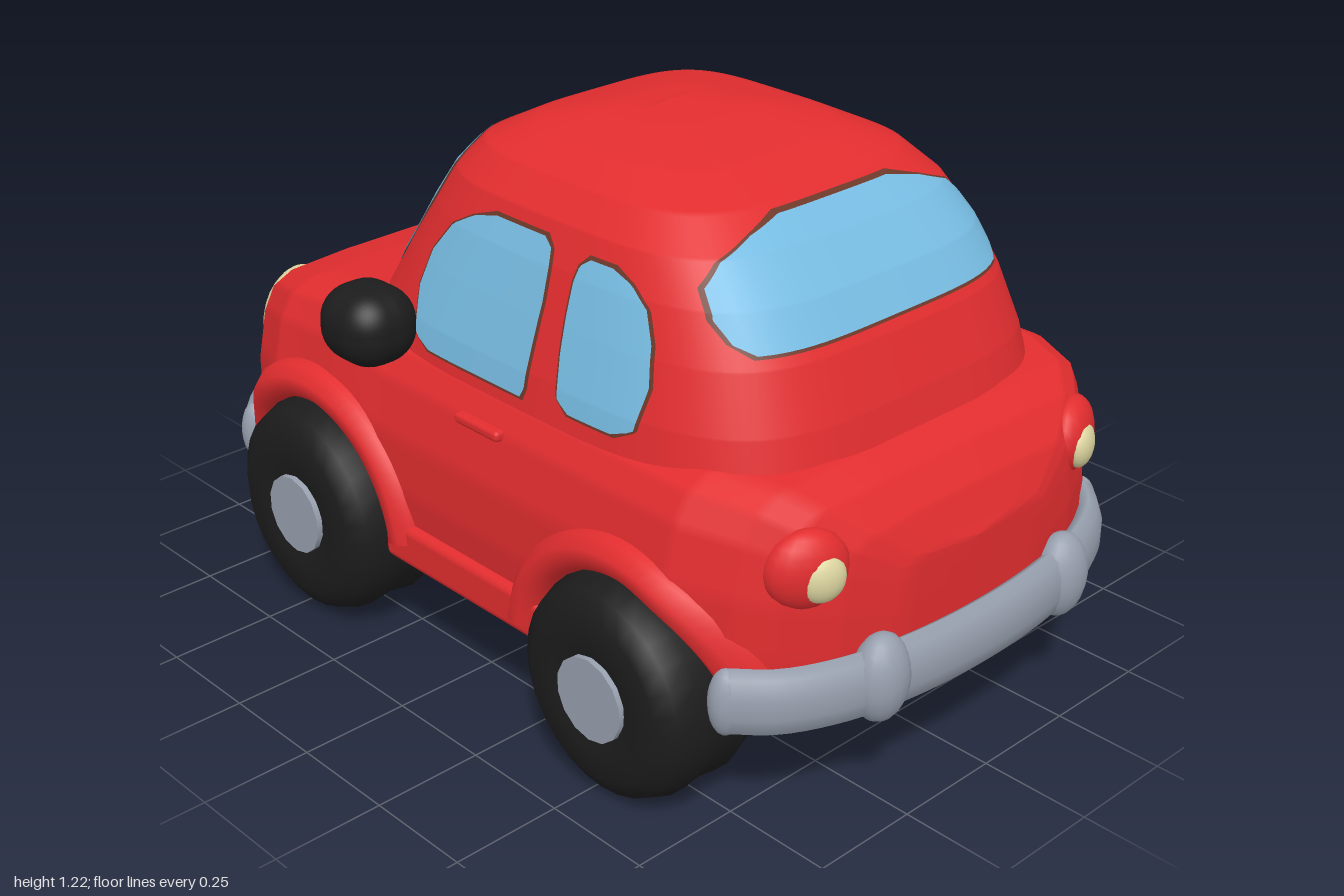
import * as THREE from 'three';
import { ParametricGeometry } from 'three/addons/geometries/ParametricGeometry.js';
import { RoundedBoxGeometry } from 'three/addons/geometries/RoundedBoxGeometry.js';

const material = (name, color, side = THREE.FrontSide) =>
  new THREE.MeshStandardMaterial({ name, color, side });

// Interpolates a table whose rows start with their key
function lookup(table, key) {
  let i = 1;
  while (i < table.length - 1 && table[i][0] < key) i++;
  const a = table[i - 1], b = table[i];
  const t = THREE.MathUtils.clamp((key - a[0]) / (b[0] - a[0]), 0, 1);
  return a.slice(1).map((n, k) => n + (b[k + 1] - n) * t);
}

// Lower body stations: x, top height, half width, bottom height
const BODY = [
  [-0.94, 0.52, 0, 0.31], [-0.937, 0.53, 0.22, 0.3], [-0.92, 0.58, 0.32, 0.27],
  [-0.88, 0.64, 0.43, 0.25], [-0.8, 0.695, 0.53, 0.24], [-0.65, 0.735, 0.59, 0.235],
  [-0.42, 0.77, 0.6, 0.23], [-0.25, 0.735, 0.6, 0.23], [0.66, 0.735, 0.6, 0.23],
  [0.78, 0.72, 0.55, 0.24], [0.85, 0.67, 0.47, 0.25], [0.9, 0.61, 0.36, 0.26],
  [0.93, 0.54, 0.24, 0.28], [0.94, 0.52, 0, 0.3],
];
// Half cross-section: step, fraction of half width, fraction of height
const SECTION = [
  [0, 0, 1], [1, 0.5, 0.995], [2, 0.8, 0.975], [3, 0.9, 0.92],
  [4, 0.955, 0.8], [5, 1, 0.55], [6, 1, 0.3], [7, 0.97, 0],
];
// Cabin levels: y, front x, rear x, half width
const CABIN = [
  [0.69, -0.53, 0.795, 0.535], [0.78, -0.49, 0.77, 0.52], [0.9, -0.42, 0.722, 0.487],
  [1, -0.36, 0.658, 0.457], [1.08, -0.31, 0.582, 0.425], [1.14, -0.265, 0.505, 0.37],
  [1.18, -0.19, 0.385, 0.29], [1.205, -0.09, 0.22, 0.17], [1.215, 0.05, 0.05, 0],
];
const WHEELS = [{ name: 'Front', x: -0.47, r: 0.255 }, { name: 'Rear', x: 0.53, r: 0.242 }];

function bodyPoint(u, v, target) {
  const x = -0.94 * Math.cos(Math.PI * u);
  const [top, half, low] = lookup(BODY, x);
  const s = 1 - 2 * v;
  const [fw, fh] = lookup(SECTION, Math.abs(s) * 7);
  let y = low + (top - low) * fh;
  for (const w of WHEELS) {
    const d = (w.r + 0.02) ** 2 - (x - w.x) ** 2;
    if (d > 0) y = Math.max(y, w.r - 0.01 + Math.sqrt(d));
  }
  target.set(x, y, Math.sign(s) * half * fw);
}

// Superellipse rings stacked into the cabin
const power = (n) => Math.sign(n) * Math.sqrt(Math.abs(n));
function cabinPoint(u, v, target) {
  const y = 0.69 + 0.525 * v;
  const [f, r, w] = lookup(CABIN, y);
  const a = u * Math.PI * 2;
  target.set((f + r) / 2 + (r - f) / 2 * power(Math.cos(a)), y, -w * power(Math.sin(a)));
}
const bulge = (t) => Math.max(0, 1 - t ** 4) ** 0.25;

// Pane laid on the cabin; rows hold y and the edges along x (sides) or z (ends)
function paneGeometry(rows, axis, sign, offset) {
  const y0 = rows[0][0], y1 = rows[rows.length - 1][0];
  const forward = axis === 'z' ? sign > 0 : sign < 0;
  return new ParametricGeometry((u, v, target) => {
    const y = y0 + (y1 - y0) * v;
    const [lo, hi] = lookup(rows, y);
    const [f, r, w] = lookup(CABIN, y);
    const mid = (f + r) / 2, a = (r - f) / 2;
    const p = lo + (hi - lo) * (forward ? u : 1 - u);
    if (axis === 'z') target.set(p, y, sign * (w * bulge((p - mid) / a) + offset));
    else target.set(mid + sign * (a * bulge(p / w) + offset), y, p);
  }, 24, 40);
}
// Rows widened slightly for the dark seal around a pane
const widen = (rows, d) => rows.map(([y, lo, hi], i) =>
  [y + (i === 0 ? -d : i === rows.length - 1 ? d : 0), lo - d, hi + d]);

// Flared wheel arch that tucks in toward the ends of the car
function fenderGeometry({ x, r }, side) {
  const geometry = new THREE.TorusGeometry(r + 0.052, 0.048, 10, 32, Math.PI * 0.92);
  geometry.rotateZ(Math.PI * 0.04).scale(1, 1, 1.4);
  const p = geometry.attributes.position;
  for (let i = 0; i < p.count; i++) {
    const out = Math.max(0, Math.abs(p.getX(i) + x) - 0.62);
    p.setZ(i, p.getZ(i) - side * 2.5 * out * out);
  }
  geometry.computeVertexNormals();
  return geometry;
}

export function createModel() {
  const group = new THREE.Group();
  group.name = 'car';
  const red = material('red paint', 0xe22d2f, THREE.DoubleSide);
  const glass = material('blue glass', 0x77bce2, THREE.DoubleSide);
  const grey = material('grey metal', 0x98a0ae);
  const black = material('black rubber', 0x1c1c1c);
  const cream = material('cream lamp', 0xddd5a0);
  const brown = material('brown underside', 0x6e3829, THREE.DoubleSide);

  const add = (name, geometry, mat, x = 0, y = 0, z = 0, parent = group) => {
    const mesh = new THREE.Mesh(geometry, mat);
    mesh.name = name;
    mesh.position.set(x, y, z);
    parent.add(mesh);
    return mesh;
  };
  const ball = (name, mat, p, s) => {
    const mesh = add(name, new THREE.SphereGeometry(1, 18, 12), mat, ...p);
    mesh.scale.set(...s);
    return mesh;
  };
  const pane = (name, rows, axis, sign) => {
    add(name, paneGeometry(rows, axis, sign, 0.006), glass);
    add(name + 'Seal', paneGeometry(widen(rows, 0.007), axis, sign, 0.003), brown);
  };

  // Painted shell
  add('lowerBody', new ParametricGeometry(bodyPoint, 100, 42), red);
  add('cabin', new ParametricGeometry(cabinPoint, 72, 105), red);

  // Windows
  const ends = (rows) => rows.map(([y, z]) => [y, -z, z]);
  pane('windshield', ends([[0.775, 0.3], [0.8, 0.37], [0.88, 0.4],
    [1, 0.39], [1.08, 0.36], [1.12, 0.31], [1.135, 0.24]]), 'x', -1);
  pane('rearWindow', ends([[0.93, 0.355], [0.95, 0.385], [0.99, 0.395],
    [1.04, 0.38], [1.08, 0.335], [1.11, 0.25], [1.13, 0.16]]), 'x', 1);
  const frontPane = [[0.73, -0.14, 0.165], [0.75, -0.19, 0.175], [0.85, -0.21, 0.18],
    [0.93, -0.19, 0.185], [1, -0.135, 0.182], [1.035, -0.07, 0.175], [1.052, 0, 0.15]];
  const rearPane = [[0.74, 0.31, 0.43], [0.76, 0.275, 0.485], [0.85, 0.262, 0.502],
    [0.93, 0.258, 0.485], [0.99, 0.258, 0.455], [1.025, 0.265, 0.405], [1.042, 0.29, 0.35]];

  // Underside with notches for the wheels
  const half = [[-0.9, 0.2], [-0.87, 0.36], [-0.76, 0.5], [-0.76, 0.38], [-0.19, 0.38],
    [-0.19, 0.575], [0.27, 0.575], [0.27, 0.38], [0.79, 0.38], [0.79, 0.48], [0.86, 0.36], [0.9, 0.2]];
  const outline = [...half, ...half.map(([x, z]) => [x, -z]).reverse()];
  const floor = new THREE.ExtrudeGeometry(
    new THREE.Shape(outline.map(([x, z]) => new THREE.Vector2(x, z))),
    { depth: 0.29, bevelEnabled: false });
  floor.rotateX(-Math.PI / 2);
  add('underside', floor, brown, 0, 0.235, 0);

  for (const side of [1, -1]) {
    const label = side > 0 ? 'left' : 'right';
    pane(label + 'FrontSideWindow', frontPane, 'z', side);
    pane(label + 'RearSideWindow', rearPane, 'z', side);

    // Door sill, handle and mirror
    add(label + 'Sill', new RoundedBoxGeometry(0.52, 0.1, 0.06, 3, 0.02), red, 0.04, 0.28, side * 0.585);
    add(label + 'DoorHandle', new RoundedBoxGeometry(0.14, 0.025, 0.03, 2, 0.01), red, 0.08, 0.645, side * 0.572);
    add(label + 'Mirror', new RoundedBoxGeometry(0.2, 0.175, 0.185, 5, 0.08), black, -0.27, 0.77, side * 0.587);

    // Lamps
    const headlight = ball(label + 'Headlight', cream, [-0.863, 0.55, side * 0.38], [0.052, 0.112, 0.108]);
    headlight.rotation.set(0, side * 0.35, -0.15);
    const pod = ball(label + 'TailLampPod', red, [0.85, 0.57, side * 0.41], [0.05, 0.085, 0.09]);
    const lamp = ball(label + 'TailLamp', cream, [0.885, 0.56, side * 0.402], [0.03, 0.052, 0.05]);
    pod.rotation.y = lamp.rotation.y = -side * 0.4;

    // Wheels and flared arches
    for (const spec of WHEELS) {
      const { name, x, r } = spec;
      const wheel = new THREE.Group();
      wheel.name = label + name + 'Wheel';
      wheel.position.set(x, r, side * 0.54);
      wheel.rotation.x = Math.PI / 2;
      group.add(wheel);
      const profile = [[0.3, -0.125], [0.5, -0.138], [0.75, -0.136], [0.92, -0.11], [1, -0.06],
        [0.97, 0], [1, 0.06], [0.92, 0.11], [0.75, 0.136], [0.5, 0.138], [0.3, 0.125]]
        .map(([k, t]) => new THREE.Vector2(k * r, t));
      add('tire', new THREE.LatheGeometry(profile, 28), black, 0, 0, 0, wheel);
      add('hub', new THREE.CylinderGeometry(0.093, 0.093, 0.285, 14), grey, 0, 0, 0, wheel);
      add(label + name + 'Fender', fenderGeometry(spec, side), red, x, r - 0.01, side * 0.567);
    }
  }

  // Wraparound bumpers with overriders
  for (const end of [-1, 1]) {
    const label = end < 0 ? 'front' : 'rear';
    const plan = [[0.965, 0], [0.953, 0.2], [0.92, 0.36], [0.86, 0.49], [0.79, 0.56]];
    const path = [...plan.slice(1).map(([x, z]) => [x, -z]).reverse(), ...plan]
      .map(([x, z]) => new THREE.Vector3(end * x, 0, z));
    const bar = add(label + 'Bumper',
      new THREE.TubeGeometry(new THREE.CatmullRomCurve3(path), 40, 0.035, 10), grey, 0, 0.31, 0);
    bar.scale.y = 2.15;
    for (const side of [1, -1]) {
      ball(label + 'BumperTip', grey, [end * 0.79, 0.31, side * 0.56], [0.036, 0.075, 0.036]);
      ball(label + 'Overrider', grey, [end * 0.942, 0.315, side * 0.285], [0.055, 0.098, 0.068]);
    }
  }
  return group;
}
